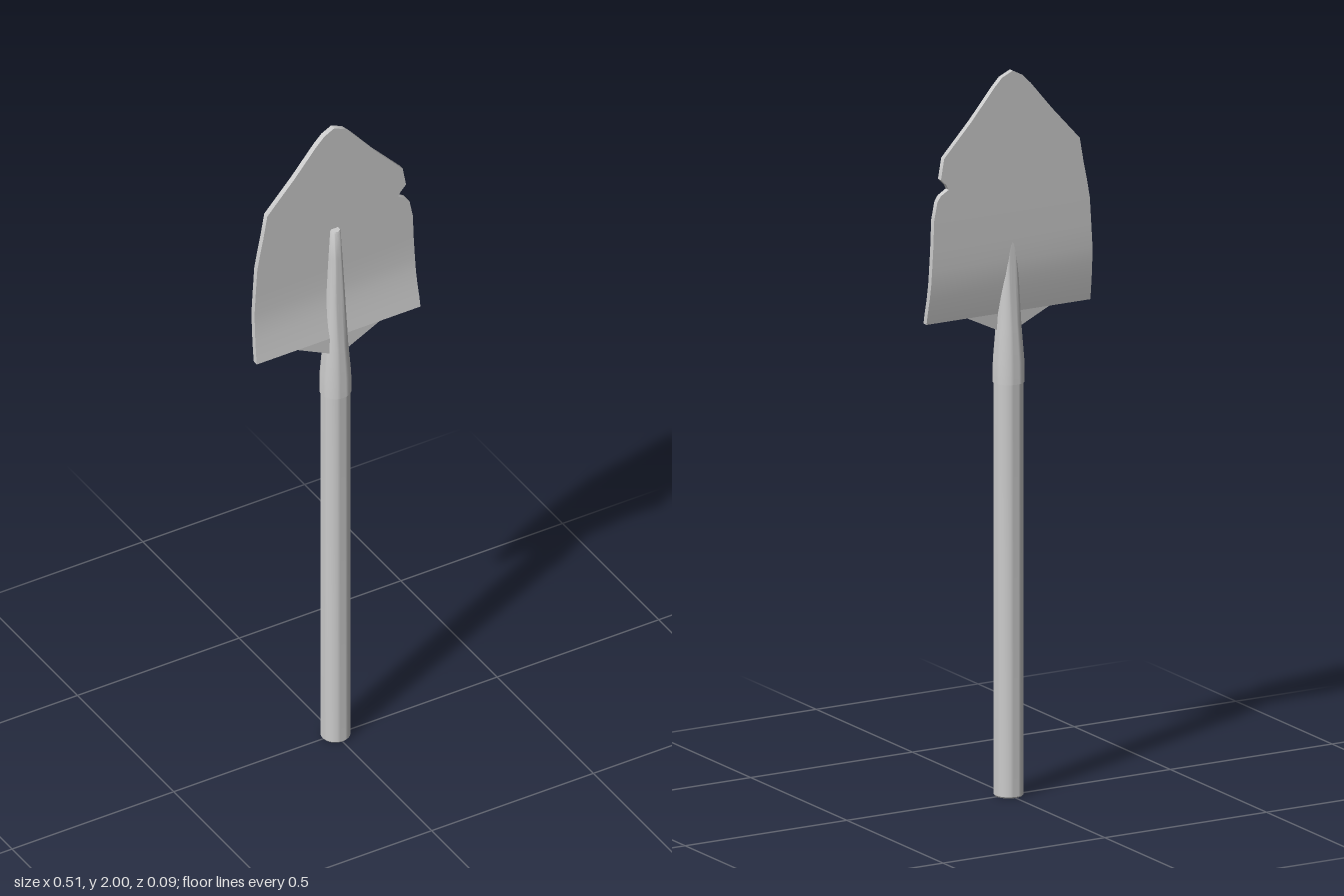
import * as THREE from 'three';
import { toCreasedNormals } from 'three/addons/utils/BufferGeometryUtils.js';

const material = new THREE.MeshStandardMaterial({ color: 0xcccccc });

function addPart(group, name, geometry) {
  const mesh = new THREE.Mesh(toCreasedNormals(geometry, 0.6), material);
  mesh.name = name;
  group.add(mesh);
}

// Solid of revolution from [radius, y] pairs, listed bottom to top
function turned(profile) {
  return new THREE.LatheGeometry(profile.map(([r, y]) => new THREE.Vector2(r, y)), 32);
}

// Thin plate lofted through rows of [y, left edge, right edge, front z]
function plate(rows, thickness) {
  const positions = [];
  const index = [];
  for (const [y, left, right, z] of rows) {
    const back = z - thickness;
    positions.push(left, y, z, right, y, z, right, y, back, left, y, back);
  }
  for (let i = 0; i < rows.length - 1; i++) {
    for (let k = 0; k < 4; k++) {
      const a = i * 4 + k;
      const b = i * 4 + (k + 1) % 4;
      index.push(a, b, b + 4, a, b + 4, a + 4);
    }
  }
  const last = (rows.length - 1) * 4;
  index.push(0, 2, 1, 0, 3, 2, last, last + 1, last + 2, last, last + 2, last + 3);
  const geometry = new THREE.BufferGeometry();
  geometry.setAttribute('position', new THREE.Float32BufferAttribute(positions, 3));
  geometry.setIndex(index);
  geometry.computeVertexNormals();
  return geometry;
}

export function createModel() {
  const group = new THREE.Group();
  group.name = 'shovel';

  // Round wooden shaft, closed at both ends
  addPart(group, 'handle', turned([[0, 0], [0.037, 0], [0.04, 0.004], [0.04, 1.2], [0, 1.2]]));

  // Tapering metal sleeve that grips the shaft and runs up the blade
  addPart(group, 'socket', turned([
    [0.039, 1.14], [0.043, 1.14], [0.042, 1.2], [0.034, 1.3],
    [0.026, 1.45], [0.019, 1.58], [0.014, 1.665], [0.012, 1.67], [0, 1.67],
  ]));

  // Blade: bent forward at the shoulders, pointed tip, chip in its left edge
  addPart(group, 'blade', plate([
    [1.283, -0.03, 0.03, 0.019],
    [1.33, -0.127, 0.127, 0.017],
    [1.33, -0.253, 0.253, 0.017],
    [1.36, -0.252, 0.253, 0.011],
    [1.4, -0.25, 0.251, 0.004],
    [1.44, -0.248, 0.25, -0.002],
    [1.48, -0.247, 0.249, -0.005],
    [1.54, -0.243, 0.246, -0.006],
    [1.62, -0.238, 0.243, -0.006],
    [1.67, -0.229, 0.233, -0.006],
    [1.685, -0.226, 0.223, -0.006],
    [1.7, -0.223, 0.198, -0.006],
    [1.713, -0.22, 0.205, -0.006],
    [1.73, -0.217, 0.222, -0.006],
    [1.787, -0.207, 0.212, -0.006],
    [1.88, -0.122, 0.125, -0.006],
    [1.96, -0.055, 0.058, -0.006],
    [1.985, -0.03, 0.034, -0.006],
    [2, -0.001, 0.001, -0.006],
  ], 0.016));

  return group;
}
